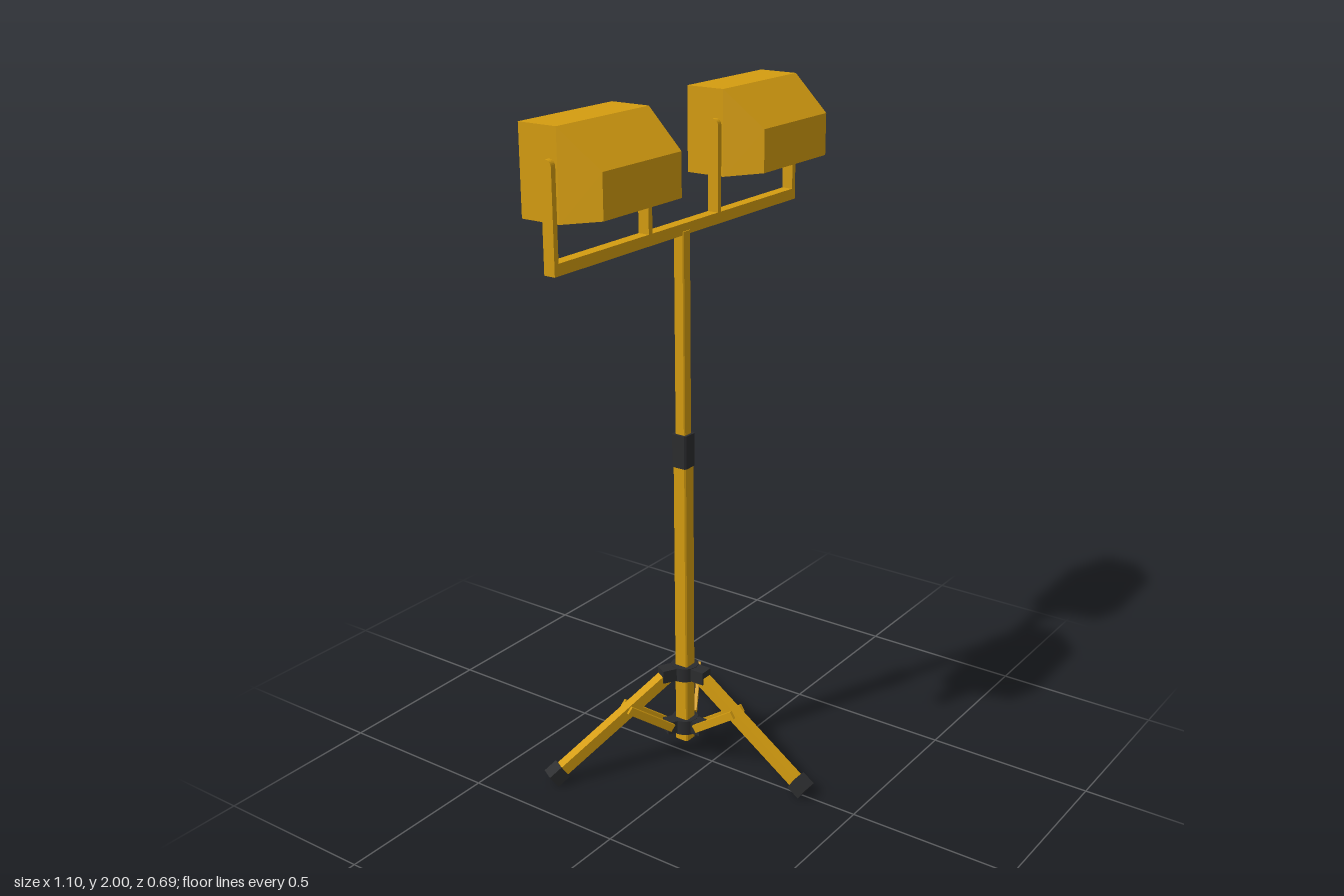
import * as THREE from 'three';

const mat = (name, color) => {
  const m = new THREE.MeshStandardMaterial({ color });
  m.name = name;
  return m;
};

export function createModel() {
  const yellow = mat('yellow paint', 0xd49c10);
  const black = mat('black plastic', 0x2b2c2e);
  const glass = mat('grey glass', 0x77787a);
  const rust = mat('rust', 0x4a2c0a);
  const MAST_Z = -0.1;
  const model = new THREE.Group();
  model.name = 'floodlightTower';

  const add = (parent, name, geometry, material, x = 0, y = 0, z = 0) => {
    const mesh = new THREE.Mesh(geometry, material);
    mesh.name = name;
    mesh.position.set(x, y, z);
    parent.add(mesh);
    return mesh;
  };

  // Flat-faced loft through rectangles [halfWidth, bottom, top, z], front to back
  const loft = (rings, capFront, capBack) => {
    const pos = [];
    const corners = rings.map(([w, b, t, z]) => [[-w, b, z], [w, b, z], [w, t, z], [-w, t, z]]);
    const quad = (a, b, c, d) => pos.push(...a, ...b, ...c, ...a, ...c, ...d);
    for (let r = 0; r < corners.length - 1; r++) {
      const a = corners[r], b = corners[r + 1];
      for (let i = 0; i < 4; i++) {
        const j = (i + 1) % 4;
        quad(a[i], b[i], b[j], a[j]);
      }
    }
    if (capFront) quad(...corners[0]);
    if (capBack) quad(...corners[corners.length - 1].slice().reverse());
    const g = new THREE.BufferGeometry();
    g.setAttribute('position', new THREE.Float32BufferAttribute(pos, 3));
    g.computeVertexNormals();
    return g;
  };

  // Upright square tube with chamfered corners
  const tube = (half, chamfer, y0, y1) => {
    const h = half, k = half - chamfer;
    const shape = new THREE.Shape([[h, -k], [h, k], [k, h], [-k, h], [-h, k], [-h, -k], [-k, -h], [k, -h]]
      .map(([x, y]) => new THREE.Vector2(x, y)));
    return new THREE.ExtrudeGeometry(shape, { depth: y1 - y0, bevelEnabled: false })
      .rotateX(-Math.PI / 2).translate(0, y0, 0);
  };

  // Mast
  add(model, 'lowerMast', tube(0.022, 0.004, 0.055, 1.0), yellow, 0, 0, MAST_Z);
  add(model, 'upperMast', tube(0.017, 0.003, 0.98, 1.64), yellow, 0, 0, MAST_Z);
  add(model, 'mastCollar', tube(0.025, 0.005, 0.95, 1.05), black, 0, 0, MAST_Z);

  // Crossbar carrying both lamps
  add(model, 'crossbar', new THREE.BoxGeometry(1.1, 0.032, 0.034), yellow, 0, 1.646, MAST_Z - 0.003);

  // Round-topped yoke arm
  const armShape = new THREE.Shape();
  armShape.moveTo(-0.017, 0);
  armShape.lineTo(0.017, 0);
  armShape.lineTo(0.017, 0.273);
  armShape.absarc(0, 0.273, 0.017, 0, Math.PI, false);
  const armGeo = new THREE.ExtrudeGeometry(armShape, { depth: 0.016, bevelEnabled: false, curveSegments: 6 })
    .rotateY(Math.PI / 2).translate(-0.008, 0, 0);

  // Lamp housing with a recessed rim at the back, and its domed glass
  const housingGeo = loft([
    [0.16, 1.78, 1.9, 0.04],
    [0.184, 1.76, 2.0, -0.08],
    [0.184, 1.76, 2.0, -0.2],
    [0.16, 1.784, 1.976, -0.2],
    [0.16, 1.784, 1.976, -0.182],
  ], true, false);
  const glassGeo = loft([
    [0.16, 1.784, 1.976, -0.182],
    [0.15, 1.794, 1.966, -0.19],
    [0.125, 1.83, 1.93, -0.205],
  ], false, true);
  for (const side of [-1, 1]) {
    const lamp = new THREE.Group();
    lamp.name = side > 0 ? 'leftLamp' : 'rightLamp';
    lamp.position.x = side * 0.351;
    model.add(lamp);
    add(lamp, 'housing', housingGeo, yellow);
    add(lamp, 'lampGlass', glassGeo, glass);
    for (const s of [-1, 1]) add(lamp, 'yokeArm', armGeo, yellow, s * 0.192, 1.63, MAST_Z - 0.003);
  }

  // Hubs on the mast
  const hub = (y, radius, height) => new THREE.CylinderGeometry(radius, radius, height, 12).translate(0, y, 0);
  add(model, 'upperHub', hub(0.288, 0.042, 0.044), black, 0, 0, MAST_Z);
  add(model, 'lowerHub', hub(0.106, 0.04, 0.046), black, 0, 0, MAST_Z);

  // Beam in a leg's own plane, between (radius, height) points
  const beam = (parent, name, material, [r0, y0], [r1, y1], width, depth, x = 0) => {
    const g = new THREE.BoxGeometry(width, depth, Math.hypot(r1 - r0, y1 - y0));
    const mesh = add(parent, name, g, material, x, (y0 + y1) / 2, (r0 + r1) / 2);
    mesh.rotation.x = Math.atan2(y0 - y1, r1 - r0);
  };

  // Three folding legs with feet, hub lugs and paired braces
  for (let i = 0; i < 3; i++) {
    const leg = new THREE.Group();
    leg.name = ['frontLeg', 'backLeftLeg', 'backRightLeg'][i];
    leg.position.z = MAST_Z;
    leg.rotation.y = i * Math.PI * 2 / 3;
    model.add(leg);
    beam(leg, 'legTube', yellow, [0.055, 0.284], [0.418, 0.034], 0.033, 0.034);
    beam(leg, 'foot', black, [0.3995, 0.047], [0.4365, 0.0215], 0.047, 0.045);
    add(leg, 'upperLug', new THREE.BoxGeometry(0.042, 0.04, 0.05), black, 0, 0.288, 0.055);
    add(leg, 'lowerLug', new THREE.BoxGeometry(0.04, 0.04, 0.04), black, 0, 0.108, 0.045);
    for (const s of [-1, 1]) beam(leg, 'brace', yellow, [0.053, 0.112], [0.192, 0.206], 0.01, 0.024, s * 0.025);
  }

  // Rust patches: ragged thin plates, first facing +z, then turned
  const patch = (name, w, h, x, y, z, turn) => {
    const outline = [[-0.5, -0.3], [-0.2, -0.5], [0.1, -0.35], [0.4, -0.4], [0.5, 0.1], [0.3, 0.35], [0, 0.5], [-0.4, 0.4]];
    const shape = new THREE.Shape(outline.map(([u, v]) => new THREE.Vector2(u * w, v * h)));
    const g = new THREE.ExtrudeGeometry(shape, { depth: 0.001, bevelEnabled: false });
    add(model, name, g, rust, x, y, z).rotation.y = turn;
  };
  patch('mastRustLow', 0.036, 0.09, 0.022, 0.395, MAST_Z, Math.PI / 2);
  patch('mastRustMiddle', 0.022, 0.055, 0.022, 0.865, MAST_Z + 0.007, Math.PI / 2);
  patch('mastRustHigh', 0.026, 0.09, 0, 1.1, MAST_Z - 0.017, Math.PI);
  patch('lampRust', 0.065, 0.045, -0.175, 1.805, -0.035, Math.PI / 2 - 0.197);

  return model;
}
